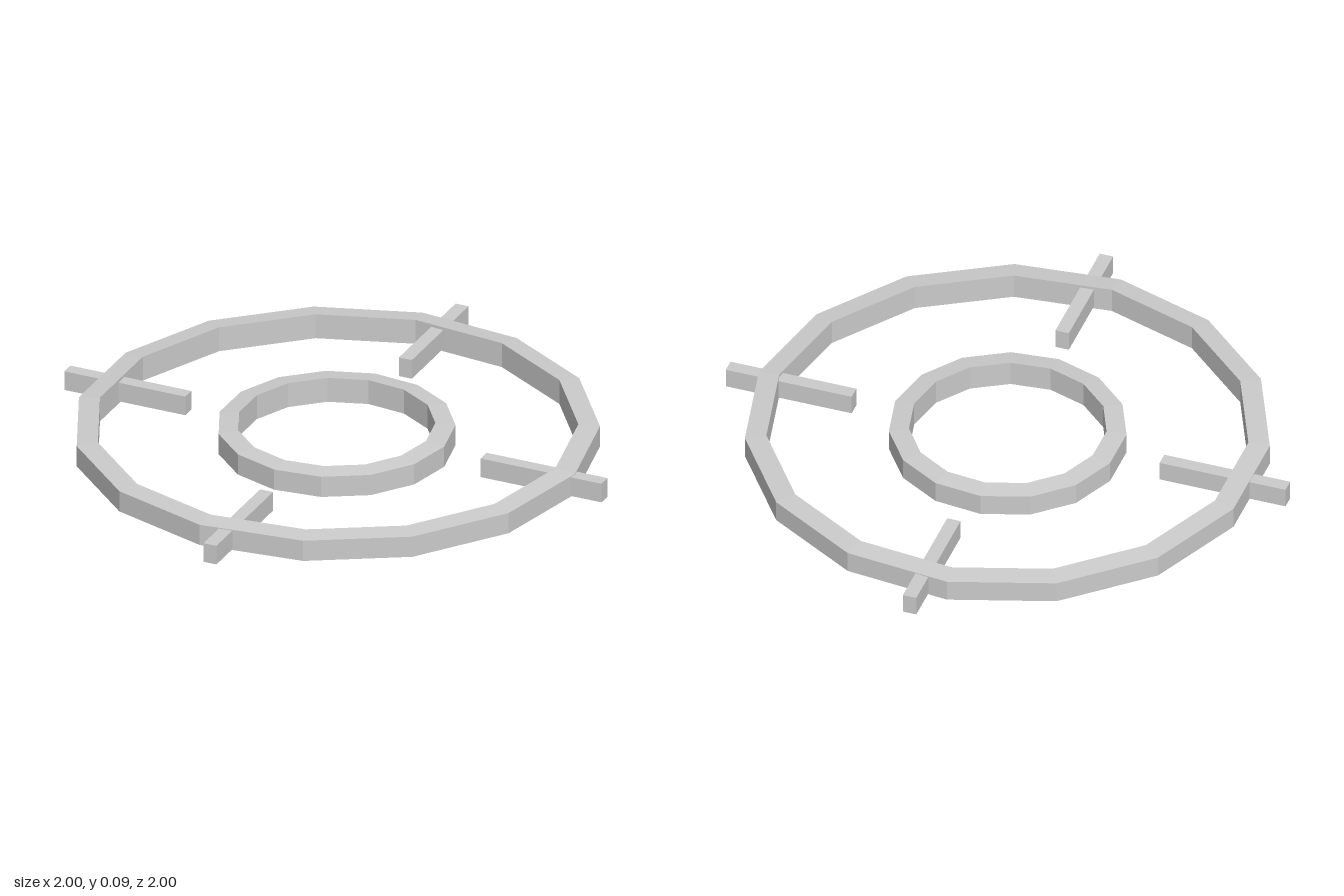
import * as THREE from 'three';

const MID = 0.045; // height of the centre plane

export function createModel() {
  const model = new THREE.Group();
  model.name = 'reticle';
  const material = new THREE.MeshStandardMaterial({ color: 0xcccccc, flatShading: true });

  // 15-sided ring, slightly taller along its inner wall
  function ring(name, outer, inner) {
    const profile = [
      [outer, -0.038], [outer, 0.038], [inner, 0.045], [inner, -0.045], [outer, -0.038],
    ].map(([r, y]) => new THREE.Vector2(r, y));
    const mesh = new THREE.Mesh(new THREE.LatheGeometry(profile, 15, Math.PI / 2), material);
    mesh.name = name;
    mesh.position.y = MID;
    model.add(mesh);
  }
  ring('outerRing', 0.89, 0.817);
  ring('innerRing', 0.403, 0.335);

  // Four bars crossing the outer ring
  const barGeometry = new THREE.BoxGeometry(0.45, 0.07, 0.048).translate(0.775, 0, 0);
  ['leftBar', 'backBar', 'rightBar', 'frontBar'].forEach((name, i) => {
    const bar = new THREE.Mesh(barGeometry, material);
    bar.name = name;
    bar.position.y = MID;
    bar.rotation.y = i * Math.PI / 2;
    model.add(bar);
  });

  return model;
}
